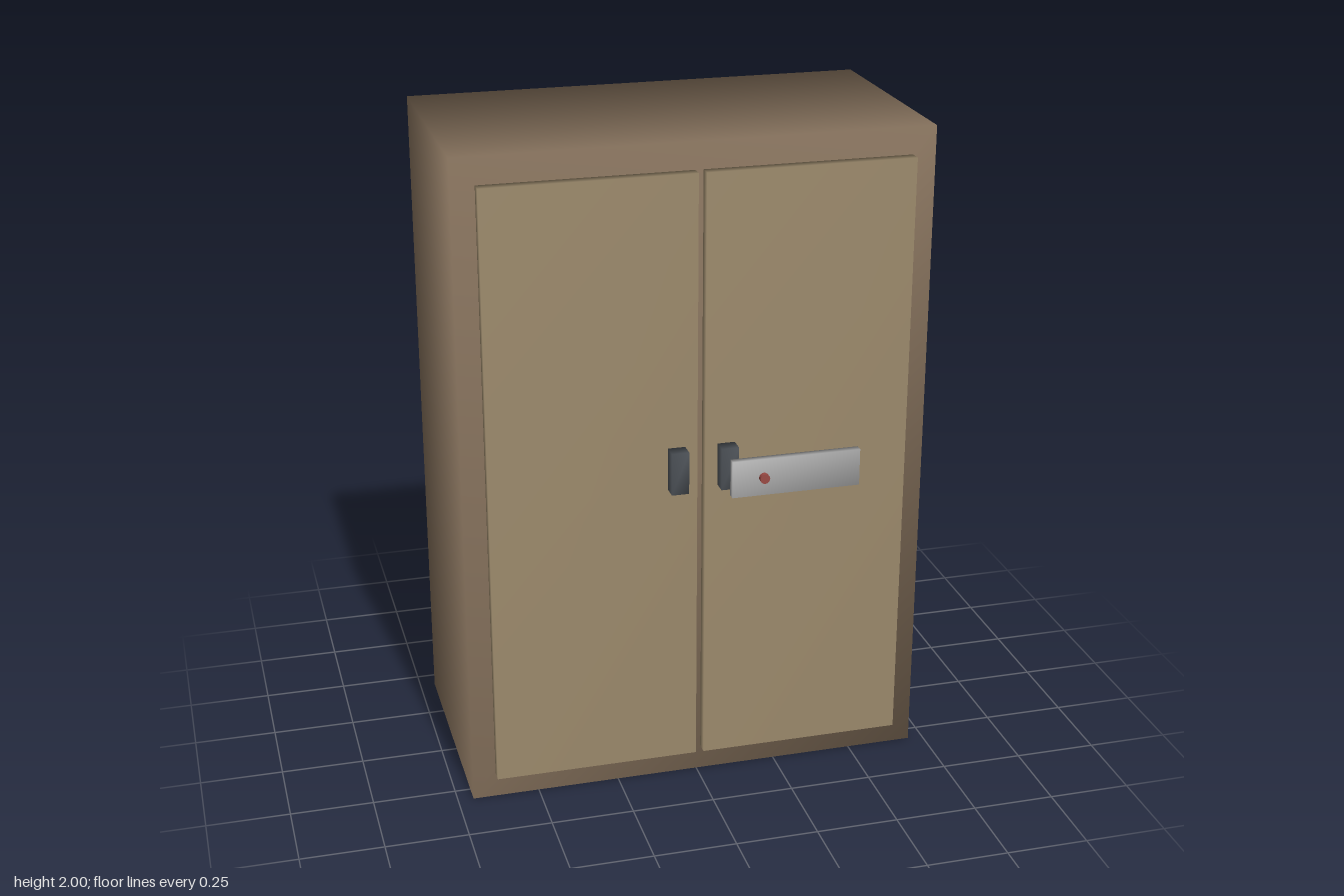
import * as THREE from 'three';
import { mergeVertices } from 'three/addons/utils/BufferGeometryUtils.js';

const paint = (color) => new THREE.MeshStandardMaterial({ color });

// Share corner vertices so normals blend softly across the edges
function softened(geometry) {
  geometry.deleteAttribute('uv');
  geometry.deleteAttribute('normal');
  const merged = mergeVertices(geometry);
  merged.computeVertexNormals();
  return merged;
}

// Box given by its [min, max] extent on each axis
function slab(name, [x0, x1], [y0, y1], [z0, z1], material) {
  const geometry = softened(new THREE.BoxGeometry(x1 - x0, y1 - y0, z1 - z0));
  const mesh = new THREE.Mesh(geometry, material);
  mesh.position.set((x0 + x1) / 2, (y0 + y1) / 2, (z0 + z1) / 2);
  mesh.name = name;
  return mesh;
}

export function createModel() {
  const model = new THREE.Group();
  model.name = 'cabinet';

  const bodyPaint = paint(0x8b7660);
  const doorPaint = paint(0x9c8a6c);
  const handlePaint = paint(0x50555b);
  const platePaint = paint(0xa8a8a8);
  const studPaint = paint(0x9a4a44);

  // Solid cabinet body
  model.add(slab('body', [-0.703, 0.703], [0, 2], [-0.436, 0.306], bodyPaint));

  // Pair of doors, each with an upright handle beside the centre gap
  for (const [side, s] of [['left', 1], ['right', -1]]) {
    const span = (a, b) => (s > 0 ? [a, b] : [-b, -a]);
    model.add(slab(side + 'Door', span(0.012, 0.633), [0.08, 1.92], [0.309, 0.346], doorPaint));
    model.add(slab(side + 'Handle', span(0.049, 0.101), [0.975, 1.105], [0.346, 0.391], handlePaint));
  }

  // Latch plate held in front of the left door
  model.add(slab('latchPlate', [0.073, 0.463], [0.96, 1.073], [0.398, 0.422], platePaint));

  // Round stud on the latch plate
  const stud = new THREE.Mesh(new THREE.CylinderGeometry(0.015, 0.015, 0.016, 16), studPaint);
  stud.rotation.x = Math.PI / 2;
  stud.position.set(0.168, 1.016, 0.428);
  stud.name = 'latchStud';
  model.add(stud);

  return model;
}
